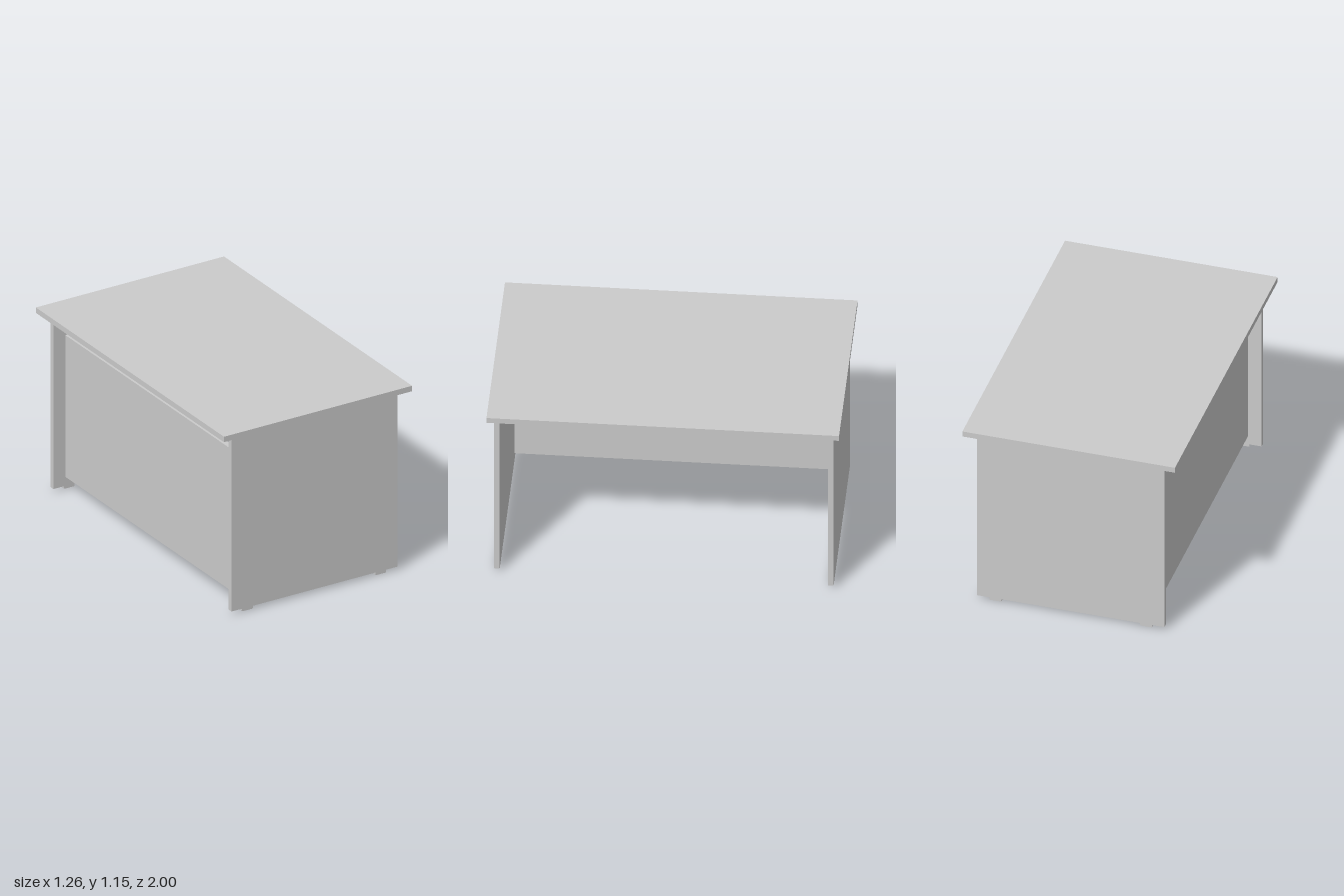
import * as THREE from 'three';

const material = new THREE.MeshStandardMaterial({ color: 0xcccccc });

// Box given by its minimum and maximum corners
function board(name, [x0, y0, z0], [x1, y1, z1]) {
  const mesh = new THREE.Mesh(new THREE.BoxGeometry(x1 - x0, y1 - y0, z1 - z0), material);
  mesh.name = name;
  mesh.position.set((x0 + x1) / 2, (y0 + y1) / 2, (z0 + z1) / 2);
  return mesh;
}

// Low glide with rounded lower corners
function footGeometry() {
  const w = 0.036, h = 0.02, r = 0.006, depth = 0.022;
  const s = new THREE.Shape();
  s.moveTo(-w, h);
  s.lineTo(-w, r);
  s.quadraticCurveTo(-w, 0, -w + r, 0);
  s.lineTo(w - r, 0);
  s.quadraticCurveTo(w, 0, w, r);
  s.lineTo(w, h);
  s.closePath();
  return new THREE.ExtrudeGeometry(s, { depth, bevelEnabled: false, curveSegments: 4 })
    .translate(0, 0, -depth / 2);
}

export function createModel() {
  const desk = new THREE.Group();
  desk.name = 'desk';

  desk.add(board('deskTop', [-0.628, 1.115, -1], [0.628, 1.149, 1]));

  // Panel between the legs, set in from the -x edge
  desk.add(board('modestyPanel', [-0.475, 0.077, -0.931], [-0.44, 0.965, 0.931]));

  // Slab legs at both ends, each on two glides
  const foot = footGeometry();
  for (const side of [1, -1]) {
    const leg = new THREE.Group();
    leg.name = side > 0 ? 'frontLeg' : 'backLeg';
    const [z0, z1] = side > 0 ? [0.931, 0.963] : [-0.963, -0.931];
    leg.add(board('legPanel', [-0.554, 0.02, z0], [0.554, 1.115, z1]));
    for (const x of [-0.445, 0.445]) {
      const mesh = new THREE.Mesh(foot, material);
      mesh.name = 'foot';
      mesh.position.set(x, 0, side * 0.947);
      leg.add(mesh);
    }
    desk.add(leg);
  }
  return desk;
}
